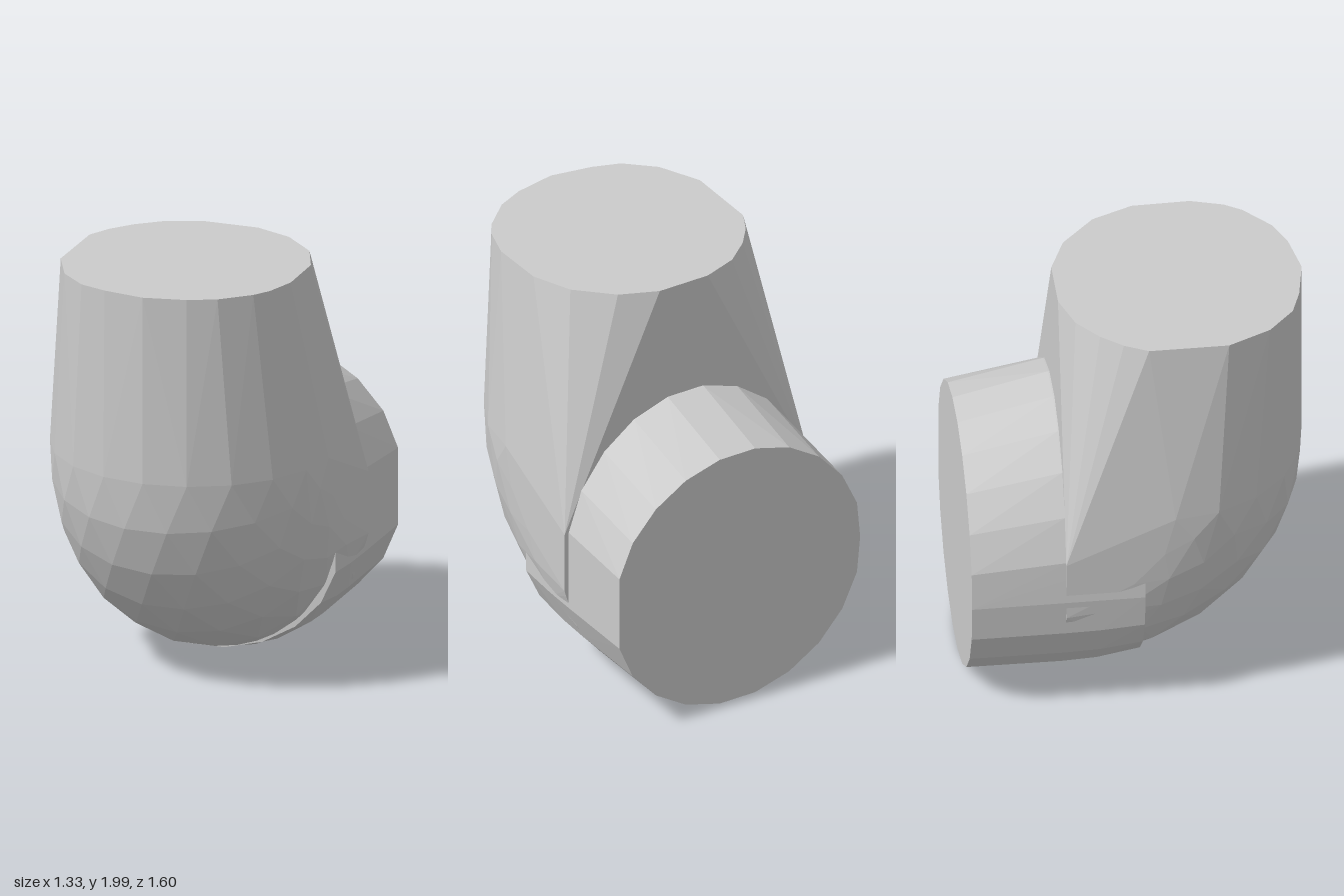
import * as THREE from 'three';
import { ConvexGeometry } from 'three/addons/geometries/ConvexGeometry.js';

const material = new THREE.MeshStandardMaterial({ color: 0xcccccc, flatShading: true });
const V = (x, y, z) => new THREE.Vector3(x, y, z);

function hull(name, points) {
  const mesh = new THREE.Mesh(new ConvexGeometry(points), material);
  mesh.name = name;
  return mesh;
}

// Upright faceted pipe whose lower end sweeps round the bend
function uprightPoints() {
  const pts = [];
  // flat top outline (x, z)
  const rim = [
    [-0.13, -0.34], [0.13, -0.34], [0.31, -0.265], [0.47, -0.11], [0.55, 0.08],
    [0.555, 0.35], [0.51, 0.5], [0.46, 0.58], [0.33, 0.7], [0.2, 0.76], [0, 0.8],
    [-0.2, 0.765], [-0.33, 0.72], [-0.46, 0.6], [-0.555, 0.4], [-0.555, 0.03],
    [-0.5, -0.08], [-0.42, -0.18], [-0.3, -0.28],
  ];
  for (const [x, z] of rim) pts.push(V(x, 2, z));

  // outer half of the elbow: rings turned about a pivot at the back
  const pivotY = 1.1, pivotZ = -0.365, steps = 7, sides = 20;
  for (let i = 0; i <= steps; i++) {
    const t = (i / steps) * Math.PI / 2;
    for (let j = 0; j < sides; j++) {
      const a = ((j + (i % 2) * 0.5) / sides) * Math.PI * 2;
      const out = Math.cos(a);
      if (out < -0.1) continue;
      const z = pivotZ + Math.cos(t) * (0.505 + 0.66 * out);
      const y = pivotY - Math.sin(t) * (0.45 + 0.64 * out);
      pts.push(V(0.662 * Math.sin(a), y, z));
    }
  }
  // corners of the flat back
  for (const s of [-1, 1]) pts.push(V(s * 0.662, 0.88, pivotZ), V(s * 0.662, 0.58, pivotZ));
  return pts;
}

// Rear outlet: three rings, taller towards the bend
function outletPoints() {
  const pts = [];
  const rings = [
    { z: -0.8, bottom: 0.02, top: 1.32 },
    { z: -0.36, bottom: 0.015, top: 1.43 },
    { z: -0.2, bottom: 0.025, top: 1.45 },
    { z: 0, bottom: 0.075, top: 1.46 },
  ];
  const sides = 22;
  for (const { z, bottom, top } of rings) {
    const mid = 0.67;
    for (let j = 0; j < sides; j++) {
      const a = ((j + 0.5) / sides) * Math.PI * 2;
      const c = Math.cos(a);
      const x = THREE.MathUtils.clamp(0.675 * Math.sin(a), -0.665, 0.64);
      const y = mid + c * (c > 0 ? top - mid : mid - bottom) / Math.cos(Math.PI / sides);
      pts.push(V(x, y, z));
    }
  }
  return pts;
}

export function createModel() {
  const group = new THREE.Group();
  group.name = 'pipeElbow';
  group.add(hull('uprightPipe', uprightPoints()));
  group.add(hull('rearOutlet', outletPoints()));
  return group;
}
